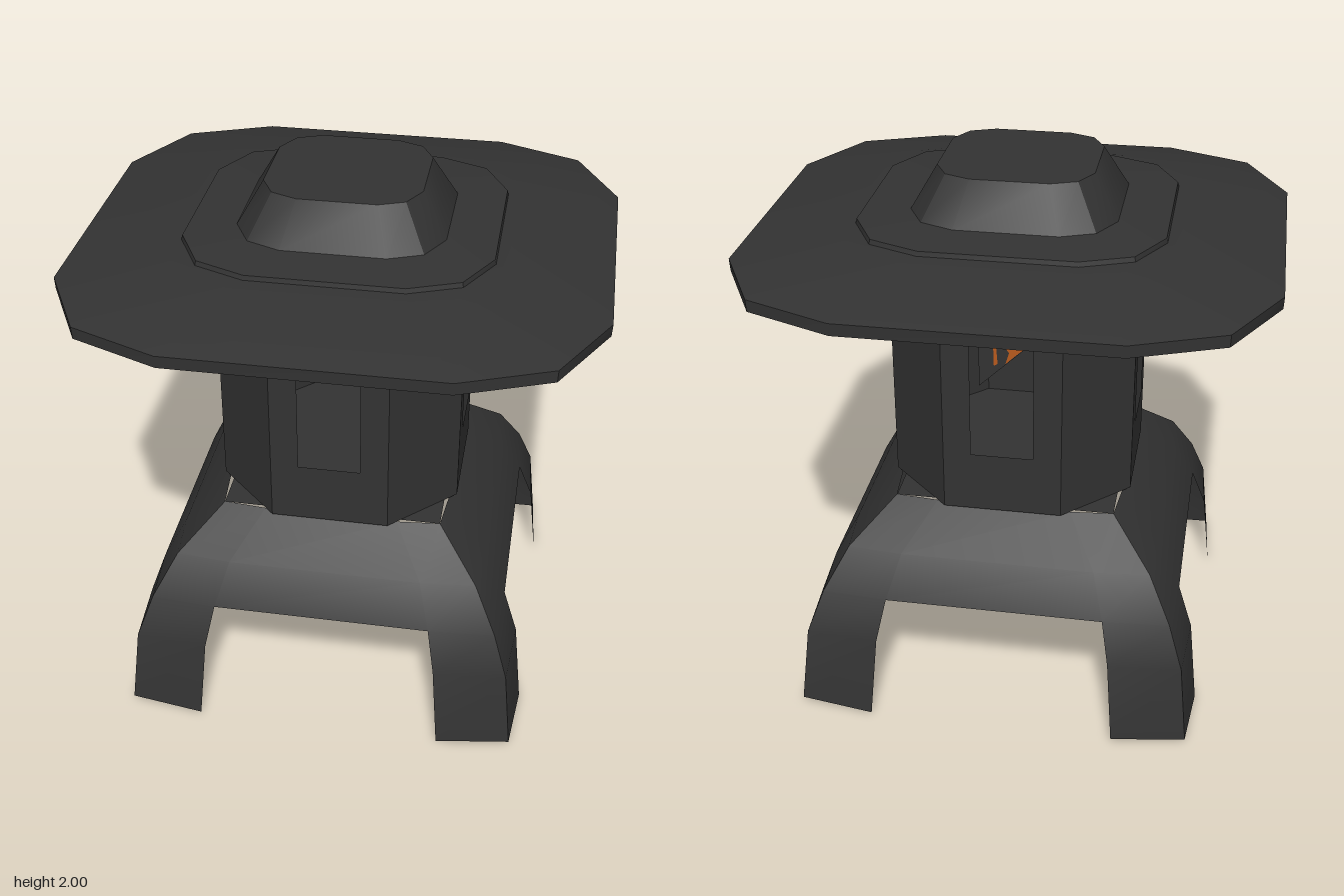
import * as THREE from 'three';
import { toCreasedNormals } from 'three/addons/utils/BufferGeometryUtils.js';

const stone = new THREE.MeshStandardMaterial({ color: 0x333333, side: THREE.DoubleSide });
stone.name = 'dark stone';
const orange = new THREE.MeshStandardMaterial({ color: 0xb85a1e, side: THREE.DoubleSide });
orange.name = 'flame orange';

function fromTriangles(points, crease) {
  const g = new THREE.BufferGeometry();
  g.setAttribute('position', new THREE.Float32BufferAttribute(points.flat(), 3));
  return toCreasedNormals(g, crease);
}

function addMesh(parent, name, geometry, material = stone) {
  const mesh = new THREE.Mesh(geometry, material);
  mesh.name = name;
  parent.add(mesh);
  return mesh;
}

const quad = (a, b, c, d) => [a, b, c, a, c, d];

// Twelve-sided outline with clipped corners, counter-clockwise from above
function outline(hx, hz, y) {
  const q = [[1, -0.52], [0.83, -0.86], [0.5, -1]];
  const r = [...q].reverse();
  return [
    ...q, ...r.map(([x, z]) => [-x, z]),
    ...q.map(([x, z]) => [-x, -z]), ...r.map(([x, z]) => [x, -z]),
  ].map(([x, z]) => [x * hx, y, z * hz]);
}

// Closed loft through outlines given as [half width, half depth, height]
function loft(levels) {
  const rings = levels.map((l) => outline(...l));
  const n = rings[0].length, top = rings.length - 1, tris = [];
  for (let i = 0; i < n; i++) {
    const j = (i + 1) % n;
    for (let k = 0; k < top; k++) {
      tris.push(...quad(rings[k][i], rings[k][j], rings[k + 1][j], rings[k + 1][i]));
    }
    tris.push([0, levels[0][2], 0], rings[0][j], rings[0][i]);
    tris.push([0, levels[top][2], 0], rings[top][i], rings[top][j]);
  }
  return fromTriangles(tris, 0.5);
}

// One side of the arched base: four columns of points per level
function baseSide() {
  // height, corner half width, opening half width, outward bulge
  const levels = [
    [0.01, 0.735, 0.46, 0.022], [0.32, 0.705, 0.435, 0.018], [0.475, 0.65, 0.405, 0.018],
    [0.63, 0.565, 0.36, 0.018], [0.78, 0.41, 0.25, 0.015],
  ];
  const rows = levels.map(([y, c, o, b], i) => {
    const foot = i === 0 ? 0.01 : 0;
    return [[-c, y + foot, c], [-o, y - foot, c + b], [o, y - foot, c + b], [c, y + foot, c]];
  });
  const tris = [];
  for (let r = 0; r < rows.length - 1; r++) {
    for (let c = 0; c < 3; c++) {
      if (c === 1 && r < 2) continue; // arch opening
      tris.push(...quad(rows[r][c], rows[r][c + 1], rows[r + 1][c + 1], rows[r + 1][c]));
    }
  }
  return fromTriangles(tris, 0.6);
}

function rectangle(x0, y0, x1, y1, Type = THREE.Shape) {
  return new Type([[x0, y0], [x1, y0], [x1, y1], [x0, y1]].map((p) => new THREE.Vector2(...p)));
}

export function createModel() {
  const model = new THREE.Group();
  model.name = 'stoneLantern';

  // Four-legged arched base with a flat top
  const base = new THREE.Group();
  base.name = 'base';
  const side = baseSide();
  for (let k = 0; k < 4; k++) addMesh(base, 'baseSide', side).rotation.y = k * Math.PI / 2;
  addMesh(base, 'baseTop', new THREE.PlaneGeometry(0.82, 0.82).rotateX(-Math.PI / 2)).position.y = 0.779;
  model.add(base);

  // Eight-sided light chamber, thin walls, four windows
  const chamber = new THREE.Group();
  chamber.name = 'lightChamber';
  const apothem = 0.453, half = 0.218, y0 = 0.778, y1 = 1.69;
  const windowWall = rectangle(-half, y0, half, y1);
  windowWall.holes.push(rectangle(-0.115, 1.01, 0.115, 1.46, THREE.Path));
  const diagonalHalf = (apothem - half) / Math.SQRT2;
  const plainWall = rectangle(-diagonalHalf, y0, diagonalHalf, y1);
  for (let k = 0; k < 8; k++) {
    const plain = k % 2 === 1;
    const g = new THREE.ShapeGeometry(plain ? plainWall : windowWall);
    g.translate(0, 0, plain ? (apothem + half) / Math.SQRT2 : apothem);
    addMesh(chamber, plain ? 'cornerWall' : 'windowWall', g).rotation.y = k * Math.PI / 4;
  }
  const a = apothem, h = half;
  const floor = new THREE.Shape(
    [[a, -h], [a, h], [h, a], [-h, a], [-a, h], [-a, -h], [-h, -a], [h, -a]].map((p) => new THREE.Vector2(...p)));
  addMesh(chamber, 'chamberFloor', new THREE.ShapeGeometry(floor).rotateX(-Math.PI / 2)).position.y = 0.782;
  model.add(chamber);

  // Triangular flame panel inside, with painted flame
  const panel = new THREE.Shape([[-0.18, 1.38], [0.17, 1.045], [0.17, 1.38]].map((p) => new THREE.Vector2(...p)));
  addMesh(model, 'flamePanel', new THREE.ShapeGeometry(panel));
  const flame = new THREE.Shape([
    [-0.085, 1.29], [-0.065, 1.32], [-0.03, 1.325], [-0.015, 1.28], [0.015, 1.28], [0.01, 1.32],
    [0.035, 1.345], [0.075, 1.325], [0.1, 1.28], [0.112, 1.23], [0.11, 1.14], [0.095, 1.15],
    [0.1, 1.22], [0.075, 1.235], [0.05, 1.2], [0.065, 1.15], [0.03, 1.185],
  ].map((p) => new THREE.Vector2(...p)));
  for (const s of [1, -1]) addMesh(model, 'flame', new THREE.ShapeGeometry(flame)).position.z = s * 0.004;
  model.children.filter((m) => m.name === 'flame').forEach((m) => { m.material = orange; });

  // Wide roof with a raised step and a tapered cap
  addMesh(model, 'roof', loft([
    [0.953, 0.906, 1.69], [0.955, 0.908, 1.735], [0.61, 0.58, 1.81], [0.55, 0.52, 1.813],
    [0.546, 0.516, 1.83], [0.37, 0.353, 1.845], [0.28, 0.266, 2.0],
  ]));
  return model;
}
